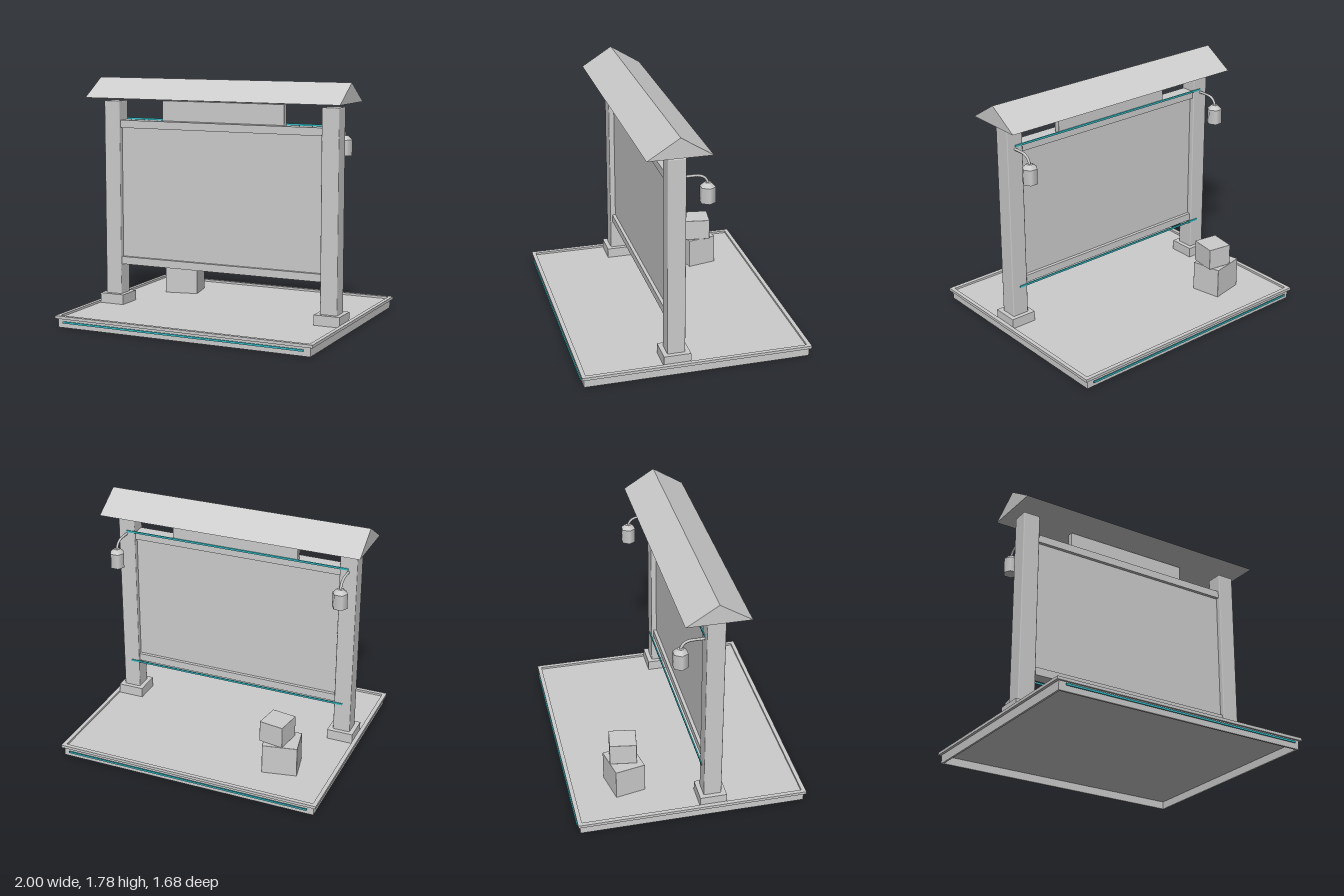
import * as THREE from 'three';
import { RoundedBoxGeometry } from 'three/addons/geometries/RoundedBoxGeometry.js';

export function createModel() {
  const model = new THREE.Group();
  model.name = 'noticeBoard';
  const grey = new THREE.MeshStandardMaterial({ name: 'plain grey', color: 0xcccccc });
  const teal = new THREE.MeshStandardMaterial({ name: 'teal light', color: 0x35bcc6 });

  const add = (name, geometry, material = grey, parent = model) => {
    const mesh = new THREE.Mesh(geometry, material);
    mesh.name = name;
    parent.add(mesh);
    return mesh;
  };
  // Box given by its limits on each axis, with an optional softened edge
  const box = (name, [x0, x1], [y0, y1], [z0, z1], material = grey, bevel = 0) => {
    const size = [x1 - x0, y1 - y0, z1 - z0];
    const geo = bevel
      ? new RoundedBoxGeometry(...size, 1, bevel)
      : new THREE.BoxGeometry(...size);
    const mesh = add(name, geo, material);
    mesh.position.set((x0 + x1) / 2, (y0 + y1) / 2, (z0 + z1) / 2);
    return mesh;
  };
  // Rectangular ring lying flat
  const ring = (name, w, d, thick, y0, y1) => {
    const rect = (P, a, b) => new P([
      new THREE.Vector2(-a, -b), new THREE.Vector2(a, -b),
      new THREE.Vector2(a, b), new THREE.Vector2(-a, b)]);
    const shape = rect(THREE.Shape, w, d);
    shape.holes.push(rect(THREE.Path, w - thick, d - thick));
    const geo = new THREE.ExtrudeGeometry(shape, { depth: y1 - y0, bevelEnabled: false });
    geo.rotateX(-Math.PI / 2).translate(0, y0, 0);
    return add(name, geo);
  };

  // Base tray: hollow skirt, overhanging rim and recessed floor
  ring('baseSkirt', 0.98, 0.82, 0.015, 0, 0.065);
  ring('baseRim', 1, 0.835, 0.03, 0.065, 0.086);
  box('baseFloor', [-0.97, 0.97], [0.058, 0.07], [-0.81, 0.81]);
  for (const s of [-1, 1]) {
    const z = s * 0.836;
    box('baseLightStrip', [-0.935, 0.935], [0.036, 0.05], [z - 0.004, z + 0.004], teal);
  }

  // Posts, plinths and hanging lamps
  for (const s of [-1, 1]) {
    const x = s * 0.87;
    box('plinth', [x - 0.098, x + 0.098], [0.065, 0.145], [0.052, 0.248]);
    box('post', [x - 0.065, x + 0.065], [0.1, 1.605], [0.085, 0.215], grey, 0.008);

    const lamp = new THREE.Group();
    lamp.name = 'lamp';
    lamp.position.x = x;
    model.add(lamp);
    const path = new THREE.CatmullRomCurve3([
      [0.09, 1.445], [0.04, 1.446], [-0.02, 1.443], [-0.055, 1.428], [-0.075, 1.4], [-0.08, 1.38],
    ].map(([z, y]) => new THREE.Vector3(0, y, z)));
    add('lampArm', new THREE.TubeGeometry(path, 14, 0.01, 6), grey, lamp);
    add('lampBody', new THREE.CylinderGeometry(0.056, 0.056, 0.113, 6, 1, false, Math.PI / 2),
      grey, lamp).position.set(0, 1.3035, -0.08);
    add('lampCap', new THREE.CylinderGeometry(0.024, 0.056, 0.03, 6, 1, false, Math.PI / 2),
      grey, lamp).position.set(0, 1.375, -0.08);
  }

  // Board with its rails and header
  box('boardPanel', [-0.805, 0.805], [0.4, 1.43], [0.125, 0.175]);
  box('bottomRail', [-0.805, 0.805], [0.373, 0.43], [0.1, 0.2]);
  box('topRail', [-0.805, 0.805], [1.405, 1.462], [0.1, 0.2]);
  box('headerBoard', [-0.49, 0.49], [1.46, 1.612], [0.087, 0.13], grey, 0.004);
  for (const y of [0.369, 1.468]) {
    box('boardLightStrip', [-0.87, 0.87], [y - 0.007, y + 0.007], [0.079, 0.088], teal);
  }

  // Gabled roof
  const gable = new THREE.Shape([
    new THREE.Vector2(-0.227, 0), new THREE.Vector2(0.227, 0), new THREE.Vector2(0, 0.143)]);
  const roofGeo = new THREE.ExtrudeGeometry(gable, { depth: 2, bevelEnabled: false });
  roofGeo.translate(0, 0, -1).rotateY(Math.PI / 2);
  add('roof', roofGeo).position.set(0, 1.634, 0.147);

  // Two stacked crates behind the board
  const lower = box('lowerCrate', [-0.72, -0.465], [0.068, 0.295], [-0.54, -0.315], grey, 0.003);
  lower.rotation.y = 0.2;
  const upper = box('upperCrate', [-0.647, -0.463], [0.295, 0.456], [-0.523, -0.328], grey, 0.003);
  upper.rotation.y = -0.15;

  return model;
}
